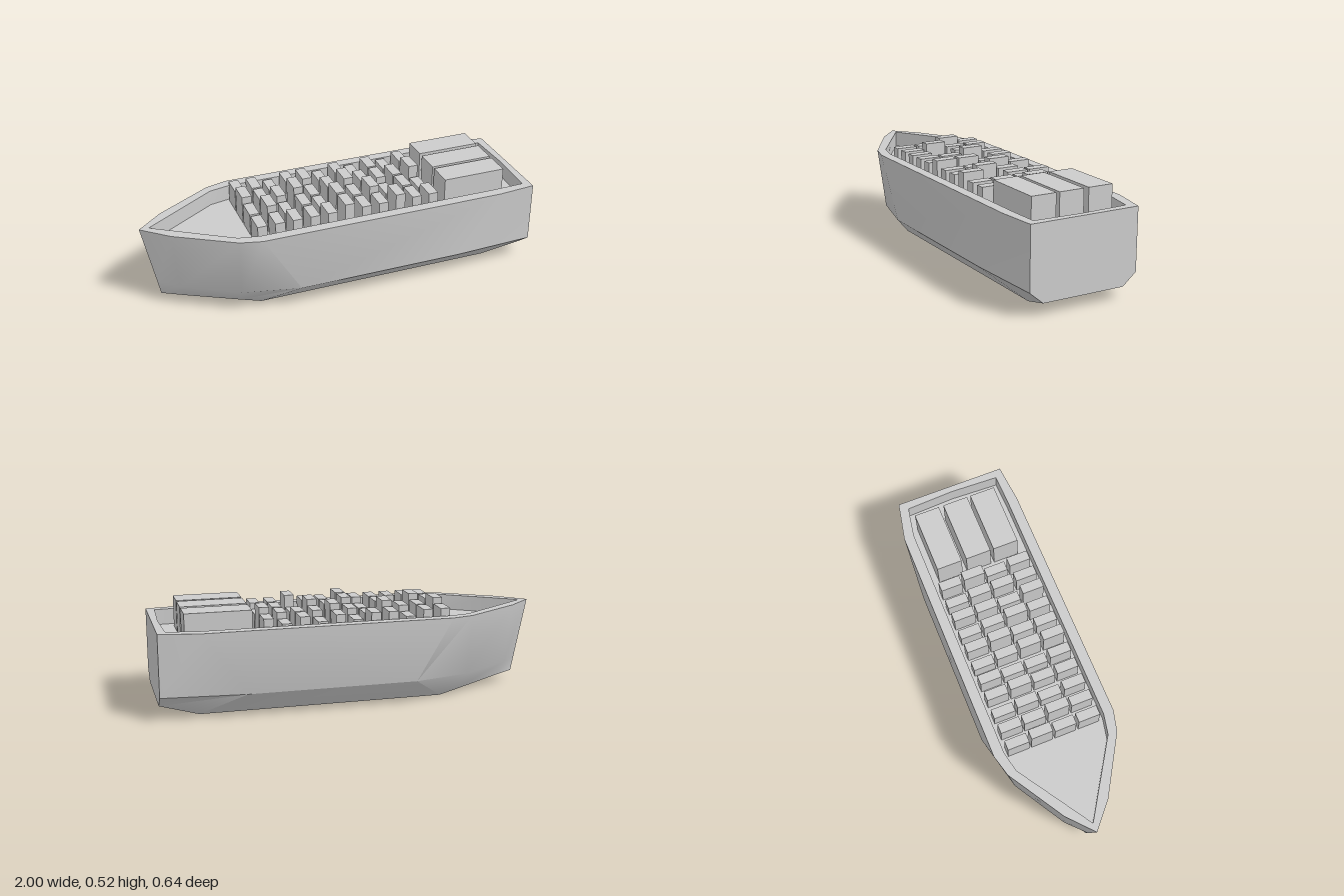
import * as THREE from 'three';
import { toCreasedNormals } from 'three/addons/utils/BufferGeometryUtils.js';

const DECK_Y = 0.36;
const RIM_Y = 0.44;
const STERN_SHIFT = 0.012; // the transom sits slightly off the centre line

const material = new THREE.MeshStandardMaterial({ color: 0xcccccc });
const shellMaterial = new THREE.MeshStandardMaterial({ color: 0xcccccc, side: THREE.DoubleSide });

// Half outlines of the hull from stern to stem, each point [x, y, z]
const bottomLine = [[1, 0.065, 0.217], [0.8, 0, 0.18], [-0.45, 0, 0.18], [-0.55, 0.013, 0.148], [-0.8, 0.047, 0.065], [-0.92, 0.05, 0]];
const chineLine = [[1, 0.125, 0.288], [0.58, 0.125, 0.318], [-0.28, 0.125, 0.318], [-0.57, 0.125, 0.25], [-0.84, 0.125, 0.09], [-0.935, 0.125, 0]];
const sheerLine = [[1, 0.288], [0.8, 0.318], [-0.47, 0.318], [-0.58, 0.29], [-0.87, 0.115], [-1, 0]].map(([x, z]) => [x, RIM_Y, z]);
const innerLine = [[0.958, 0.248], [0.8, 0.265], [-0.47, 0.265], [-0.575, 0.243], [-0.82, 0.085], [-0.952, 0]];
const innerTop = innerLine.map(([x, z]) => [x, RIM_Y, z]);
const innerBase = innerLine.map(([x, z]) => [x, DECK_Y, z]);

// Mirror a half outline into a closed ring, with a point in the middle of the stern
function ring(half, sternX) {
  const mirrored = half.slice(0, -1).reverse().map(([x, y, z]) => [x, y, -z]);
  const points = [...half, ...mirrored, [sternX, half[0][1], 0]];
  return points.map(([x, y, z]) => [x, y, x > 0.9 ? z + STERN_SHIFT : z]);
}

// Skin a stack of closed rings
function loft(rings) {
  const n = rings[0].length;
  const index = [];
  for (let r = 0; r < rings.length - 1; r++) {
    for (let i = 0; i < n; i++) {
      const a = r * n + i;
      const b = r * n + (i + 1) % n;
      index.push(a, a + n, b, b, a + n, b + n);
    }
  }
  const geometry = new THREE.BufferGeometry();
  geometry.setAttribute('position', new THREE.Float32BufferAttribute(rings.flat(2), 3));
  geometry.setIndex(index);
  return toCreasedNormals(geometry, 0.72);
}

function addMesh(parent, name, geometry, mat = material) {
  const mesh = new THREE.Mesh(geometry, mat);
  mesh.name = name;
  parent.add(mesh);
  return mesh;
}

// Box standing on the deck, given by its plan extents and top height
function addContainer(parent, name, x0, x1, z0, z1, top) {
  const height = top - DECK_Y;
  const box = addMesh(parent, name, new THREE.BoxGeometry(x1 - x0, height, z1 - z0));
  box.position.set((x0 + x1) / 2, DECK_Y + height / 2, (z0 + z1) / 2);
}

export function createModel() {
  const ship = new THREE.Group();
  ship.name = 'cargoShip';

  // Hull shell, open underneath, with bulwark rim and inner wall
  const base = ring(innerBase, 0.968);
  const rings = [ring(bottomLine, 1), ring(chineLine, 1), ring(sheerLine, 1), ring(innerTop, 0.968), base];
  addMesh(ship, 'hull', loft(rings), shellMaterial);

  // Sunken deck
  const deckShape = new THREE.Shape(base.map(([x, , z]) => new THREE.Vector2(x, z)));
  const deck = addMesh(ship, 'deck', new THREE.ShapeGeometry(deckShape).rotateX(Math.PI / 2), shellMaterial);
  deck.position.y = DECK_Y;

  // Small containers: one digit per stack, counted in tiers, bow to stern
  const cargo = new THREE.Group();
  cargo.name = 'containerStacks';
  ship.add(cargo);
  const rows = [
    { z: -0.245, tiers: '22122121212' },
    { z: -0.121, tiers: '32231232223' },
    { z: 0.004, tiers: '23121323121' },
    { z: 0.13, tiers: '22222322322' },
  ];
  for (const { z, tiers } of rows) {
    [...tiers].forEach((t, i) => {
      const x = -0.474 + i * 0.0907;
      addContainer(cargo, 'container', x, x + 0.05, z, z + 0.112, 0.415 + Number(t) * 0.03);
    });
  }

  // Three long blocks at the stern
  const blocks = new THREE.Group();
  blocks.name = 'sternBlocks';
  ship.add(blocks);
  for (const z of [-0.227, -0.069, 0.081]) addContainer(blocks, 'sternBlock', 0.535, 0.866, z, z + 0.132, 0.52);

  return ship;
}
